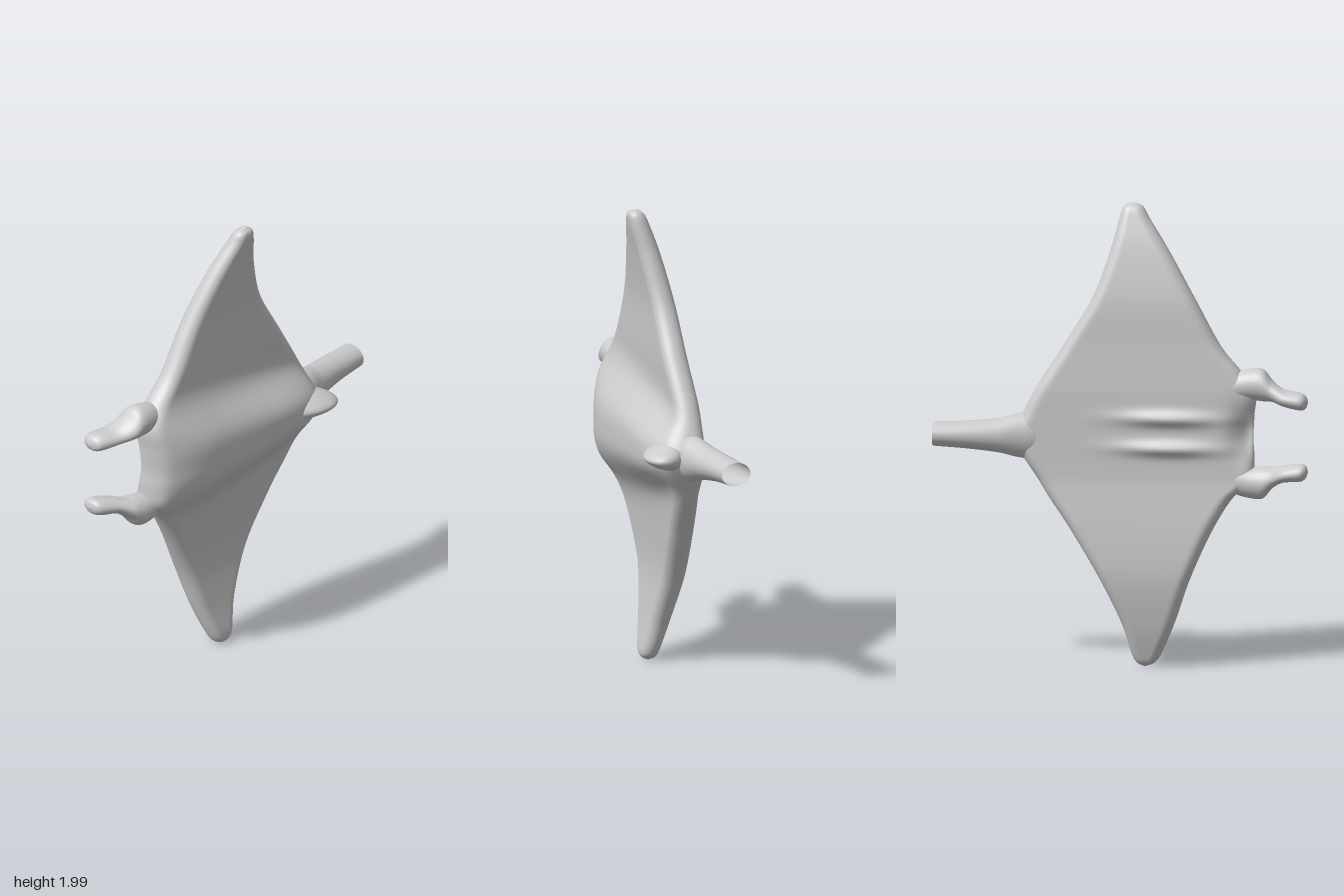
import * as THREE from 'three';

const grey = new THREE.MeshStandardMaterial({ color: 0xcccccc });
const greyOpen = new THREE.MeshStandardMaterial({ color: 0xcccccc, side: THREE.DoubleSide });

// Smooth skin over a list of closed rings of Vector3
function skin(name, rings, material = grey) {
  const n = rings[0].length;
  const index = [];
  for (let i = 0; i < rings.length - 1; i++) {
    for (let j = 0; j < n; j++) {
      const k = (j + 1) % n;
      const a = i * n + j, b = i * n + k, c = a + n, d = b + n;
      index.push(a, b, c, b, d, c);
    }
  }
  const geometry = new THREE.BufferGeometry().setFromPoints(rings.flat());
  geometry.setIndex(index);
  geometry.computeVertexNormals();
  const mesh = new THREE.Mesh(geometry, material);
  mesh.name = name;
  return mesh;
}

const spline = (points) => new THREE.CatmullRomCurve3(
  points.map((p) => new THREE.Vector3(...p)), false, 'catmullrom', 0.5);

// Limb running along +x; stations are [x, y, z, radiusY, radiusZ]
function limb(name, stations, material) {
  const centre = spline(stations.map((s) => s.slice(0, 3)));
  const radius = spline(stations.map((s) => [s[3], s[4], 0]));
  const rings = [];
  for (let i = 0; i <= 48; i++) {
    const c = centre.getPoint(i / 48), r = radius.getPoint(i / 48);
    const ring = [];
    for (let j = 0; j < 28; j++) {
      const a = (j / 28) * Math.PI * 2;
      ring.push(new THREE.Vector3(c.x,
        c.y + Math.max(r.x, 0) * Math.cos(a), c.z + Math.max(r.y, 0) * Math.sin(a)));
    }
    rings.push(ring);
  }
  return skin(name, rings, material);
}

// Quarter-circle rise from an edge, reaching 1 at distance r
const roundEdge = (d, r) => (d >= r ? 1 : Math.sqrt(Math.max(0, 1 - (1 - d / r) ** 2)));
const hump = (x, y, cx, cy, wx, wy) => Math.exp(-(((x - cx) / wx) ** 2) - ((y - cy) / wy) ** 2);

// Body and wings: chordwise sections stacked from wing tip to wing tip
function body() {
  // y, leading x, trailing x, middle z, half thickness
  const stations = [
    [0.005, -0.105, -0.095, -0.015, 0.005], [0.02, -0.14, -0.065, -0.015, 0.03],
    [0.06, -0.17, -0.042, -0.02, 0.042], [0.2, -0.23, 0, -0.05, 0.048],
    [0.4, -0.30, 0.095, -0.075, 0.052], [0.6, -0.39, 0.215, -0.065, 0.055],
    [0.74, -0.475, 0.31, -0.05, 0.055], [0.82, -0.56, 0.36, -0.042, 0.055],
    [0.91, -0.57, 0.42, -0.04, 0.055], [1.0, -0.565, 0.46, -0.04, 0.055],
    [1.1, -0.57, 0.42, -0.04, 0.055], [1.2, -0.575, 0.37, -0.04, 0.055],
    [1.29, -0.515, 0.315, -0.035, 0.055], [1.4, -0.425, 0.245, -0.028, 0.055],
    [1.6, -0.315, 0.125, -0.02, 0.052], [1.8, -0.2, 0.052, 0.015, 0.048],
    [1.93, -0.115, 0.018, 0.05, 0.042], [1.98, -0.085, 0, 0.063, 0.032],
    [1.998, -0.05, -0.03, 0.066, 0.005],
  ];
  const lead = spline(stations.map((s) => [s[1], s[0], s[3]]));
  const trail = spline(stations.map((s) => [s[2], s[0], s[4]]));
  const rows = 150, half = 44, rings = [];
  for (let i = 0; i <= rows; i++) {
    const p = lead.getPoint(i / rows), q = trail.getPoint(i / rows);
    const y = p.y, chord = q.x - p.x, h = q.z;
    const ring = [];
    for (let j = 0; j < half * 2; j++) {
      const front = j <= half;
      const u = (1 - Math.cos((j / half) * Math.PI)) / 2;
      const x = p.x + chord * u;
      const d = chord * Math.min(u, 1 - u);
      const thick = h * roundEdge(d, Math.min(h, chord / 2));
      let z;
      if (front) {
        // Raised back, narrowing toward the tail
        const width = THREE.MathUtils.mapLinear(x, -0.55, 0.45, 0.25, 0.12);
        z = p.z + thick + 0.118 * roundEdge(d, 0.3) * Math.exp(-(Math.abs((y - 1) / width) ** 3));
      } else {
        // Gill ridges and the mouth hollow on the underside
        const ridges = hump(x, y, -0.2, 1.09, 0.2, 0.03) + hump(x, y, -0.2, 0.96, 0.2, 0.03);
        const mouth = roundEdge(d, 0.04) * hump(x, y, -0.54, 1.02, 0.06, 0.11);
        z = p.z - thick - 0.028 * ridges + 0.05 * mouth;
      }
      ring.push(new THREE.Vector3(x, y, z));
    }
    rings.push(ring);
  }
  return skin('bodyAndWings', rings);
}

export function createModel() {
  const group = new THREE.Group();
  group.add(body());

  // Head horns, a pair mirrored about the body's long axis
  const horn = [
    [-0.808, 1.175, -0.113, 0, 0], [-0.797, 1.176, -0.113, 0.027, 0.038],
    [-0.77, 1.18, -0.11, 0.038, 0.058], [-0.70, 1.19, -0.088, 0.036, 0.068],
    [-0.65, 1.212, -0.055, 0.045, 0.07], [-0.61, 1.235, -0.045, 0.068, 0.07],
    [-0.56, 1.238, -0.04, 0.068, 0.066], [-0.48, 1.225, -0.038, 0.06, 0.055],
    [-0.38, 1.2, -0.035, 0.03, 0.03],
  ];
  group.add(limb('upperHorn', horn));
  group.add(limb('lowerHorn', horn.map(([x, y, ...rest]) => [x, 2.05 - y, ...rest])));

  // Tail, cut off open at the end
  group.add(limb('tail', [
    [0.25, 1, -0.03, 0.06, 0.03], [0.36, 1, -0.03, 0.1, 0.065], [0.44, 1, -0.038, 0.095, 0.075],
    [0.52, 1.002, -0.058, 0.075, 0.072], [0.65, 1.006, -0.08, 0.06, 0.068],
    [0.8, 1.01, -0.095, 0.051, 0.065],
  ], greyOpen));

  // Small fin ahead of the tail, leaning back, with a wider root
  const finShape = new THREE.SphereGeometry(1, 32, 24);
  const pos = finShape.attributes.position;
  for (let i = 0; i < pos.count; i++) {
    const x = pos.getX(i), y = pos.getY(i), z = pos.getZ(i);
    pos.setXYZ(i, 0.345 + 0.13 * x + 0.04 * z, 1.003 + y * (0.06 - 0.025 * z), 0.065 + 0.103 * z);
  }
  finShape.computeVertexNormals();
  const fin = new THREE.Mesh(finShape, grey);
  fin.name = 'backFin';
  group.add(fin);
  return group;
}
